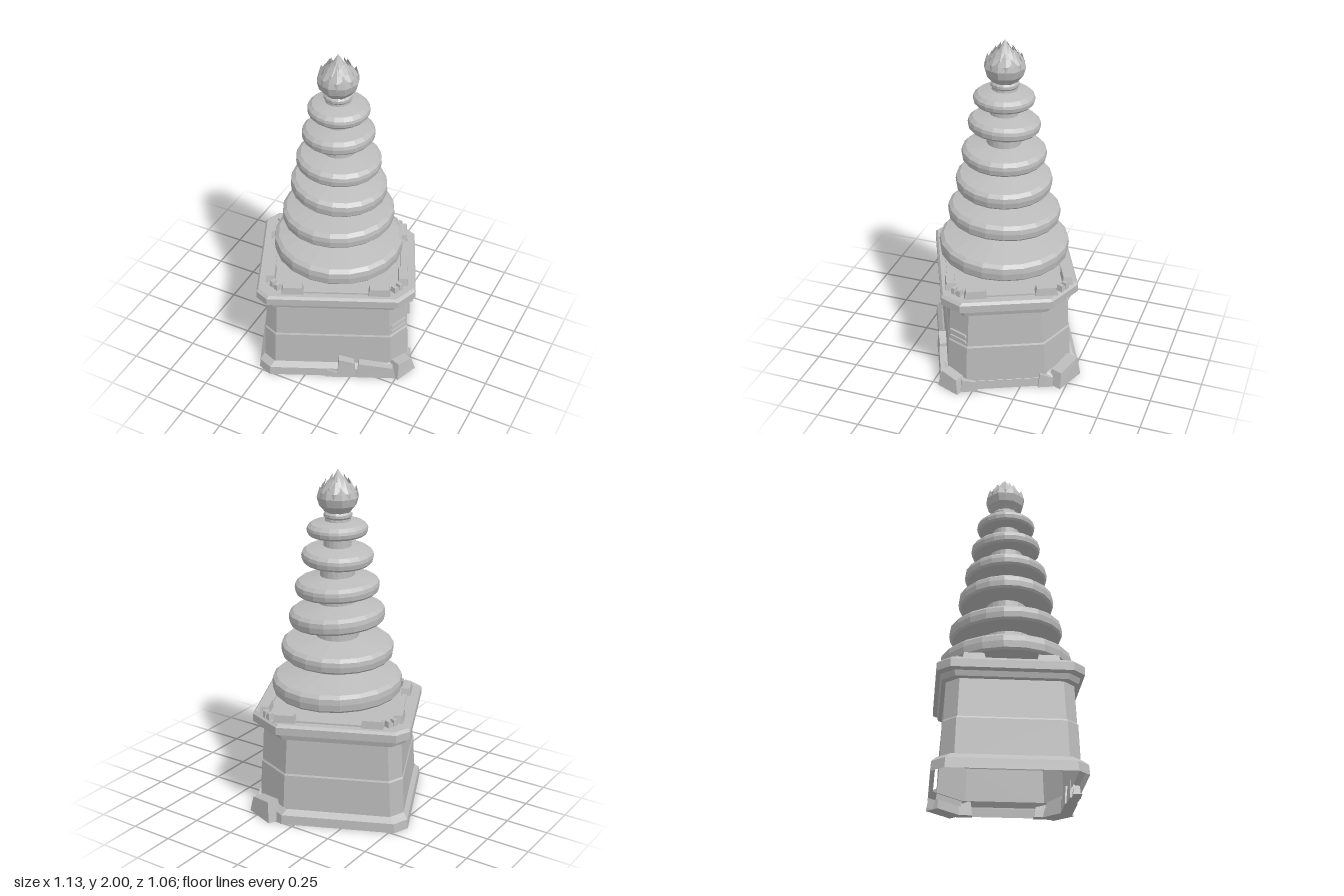
import * as THREE from 'three';

const stone = new THREE.MeshStandardMaterial({ color: 0xbcbcbc, flatShading: true, side: THREE.DoubleSide });
stone.name = 'grey stone';

function add(parent, name, geometry, x = 0, y = 0, z = 0) {
  const mesh = new THREE.Mesh(geometry, stone);
  mesh.name = name;
  mesh.position.set(x, y, z);
  parent.add(mesh);
  return mesh;
}

// Rectangle with four cut corners, as a counter-clockwise ring seen from above
function ring(y, inset, { u0 = -0.452, u1 = 0.47, v0 = -0.418, v1 = 0.374 } = {}) {
  const [a, b, c, d] = [u0 + inset, u1 - inset, v0 + inset, v1 - inset];
  const [rf, br, bl, fl] = [0.1, 0.17, 0.07, 0.065];
  return [
    [b, d - rf], [b, c + br], [b - br, c], [a + bl, c],
    [a, c + bl], [a, d - fl], [a + fl, d], [b - rf, d],
  ].map(([x, z]) => [x, y, z]);
}

// Skin between rings stacked upwards, optionally closed on top
function loft(rings, closeTop = false) {
  const p = [];
  const n = rings[0].length;
  for (let i = 0; i + 1 < rings.length; i++) {
    for (let j = 0; j < n; j++) {
      const k = (j + 1) % n;
      const [a, b, c, d] = [rings[i][j], rings[i][k], rings[i + 1][k], rings[i + 1][j]];
      p.push(...a, ...b, ...c, ...a, ...c, ...d);
    }
  }
  if (closeTop) {
    const top = rings[rings.length - 1];
    for (let j = 1; j + 1 < n; j++) p.push(...top[0], ...top[j], ...top[j + 1]);
  }
  const g = new THREE.BufferGeometry();
  g.setAttribute('position', new THREE.Float32BufferAttribute(p, 3));
  g.computeVertexNormals();
  return g;
}

// Box with a smaller top, whose top may also slope along x
function taperedBox(w, h, d, top = 0.8, slope = 0) {
  const g = new THREE.BoxGeometry(w, h, d);
  const pos = g.attributes.position;
  for (let i = 0; i < pos.count; i++) {
    if (pos.getY(i) > 0) {
      pos.setY(i, h / 2 - (pos.getX(i) > 0 ? slope : 0));
      pos.setX(i, pos.getX(i) * top);
      pos.setZ(i, pos.getZ(i) * top);
    }
  }
  g.translate(0, h / 2, 0);
  g.computeVertexNormals();
  return g;
}

// Pointed, ridged petal running up a radius/height/half-width profile
function petalGeometry(rows) {
  const p = [];
  const section = ([r, y, w]) => [[r - w * 0.35, y, w], [r, y, 0], [r - w * 0.35, y, -w]];
  for (let i = 0; i + 1 < rows.length; i++) {
    const lo = section(rows[i]);
    const hi = section(rows[i + 1]);
    for (let j = 0; j < 2; j++) {
      p.push(...lo[j], ...lo[j + 1], ...hi[j + 1], ...lo[j], ...hi[j + 1], ...hi[j]);
    }
  }
  const g = new THREE.BufferGeometry();
  g.setAttribute('position', new THREE.Float32BufferAttribute(p, 3));
  g.computeVertexNormals();
  return g;
}

const lathe = (points, sides) =>
  new THREE.LatheGeometry(points.map(([x, y]) => new THREE.Vector2(x, y)), sides);

function buildPedestal() {
  const g = new THREE.Group();
  g.name = 'pedestal';
  g.rotation.y = 0.428;

  // Plinth moulding, worn back to the wall on one side
  const foot = { u0: -0.453, u1: 0.445, v0: -0.437, v1: 0.385 };
  add(g, 'plinth', loft([ring(0, 0, foot), ring(0.055, 0.004, foot), ring(0.085, 0.03, foot)]));

  // Leaning walls in two courses, and the cornice slab
  add(g, 'walls', loft([
    ring(0.05, 0.03), ring(0.285, 0.038), ring(0.295, 0.043), ring(0.515, 0.052),
  ]));
  add(g, 'cornice', loft([
    ring(0.51, 0.052), ring(0.515, 0.03), ring(0.545, 0.022), ring(0.555, 0),
    ring(0.6, 0), ring(0.615, 0.012),
  ], true));

  // Low kerb between the parapet blocks
  for (const [x, z, w, d] of [
    [0.01, -0.35, 0.62, 0.03], [0.01, 0.315, 0.62, 0.03],
    [-0.37, -0.02, 0.03, 0.5], [0.395, -0.02, 0.03, 0.5],
  ]) add(g, 'kerb', taperedBox(w, 0.012, d, 0.97), x, 0.613, z);

  // Parapet blocks either side of each corner, with a small notched stone between
  for (const sx of [-1, 1]) {
    for (const sz of [-1, 1]) {
      const cx = 0.01 + sx * 0.385;
      const cz = -0.02 + sz * 0.335;
      add(g, 'parapetBlock', taperedBox(0.13, 0.047, 0.058, 0.84), cx - sx * 0.135, 0.613, cz);
      add(g, 'parapetBlock', taperedBox(0.058, 0.047, 0.13, 0.84), cx, 0.613, cz - sz * 0.135);
      const corner = new THREE.Group();
      corner.name = 'cornerStone';
      corner.position.set(cx - sx * 0.035, 0.613, cz - sz * 0.035);
      corner.rotation.y = sx * sz * Math.PI / 4;
      for (const s of [-1, 1]) add(corner, 'cornerStoneHalf', taperedBox(0.026, 0.038, 0.04, 0.8), s * 0.02, 0, 0);
      add(corner, 'cornerStoneMiddle', taperedBox(0.04, 0.02, 0.03, 0.8));
      g.add(corner);
    }
  }

  // Broken stones round the foot: width, height, depth, top scale, slope, x, z, turn
  for (const [w, h, d, top, slope, x, z, turn] of [
    [0.12, 0.135, 0.06, 0.75, 0.03, 0.075, 0.362, 0.05],
    [0.09, 0.05, 0.05, 0.8, 0.02, -0.005, 0.37, -0.05],
    [0.24, 0.105, 0.07, 0.85, 0.03, 0.25, 0.358, 0],
    [0.15, 0.105, 0.1, 0.72, 0.02, 0.4, 0.318, Math.PI / 4],
    [0.1, 0.08, 0.05, 0.8, 0.02, 0.44, 0.23, Math.PI / 2],
    [0.2, 0.125, 0.09, 0.78, 0.03, 0.385, -0.34, -Math.PI / 4],
    [0.09, 0.09, 0.05, 0.75, 0.03, 0.435, -0.22, Math.PI / 2],
  ]) add(g, 'brokenStone', taperedBox(w, h, d, top, slope), x, 0, z).rotation.y = turn;

  // Chipped ledges on the cut corner
  for (const y of [0.315, 0.355]) {
    add(g, 'chip', taperedBox(0.125, 0.012, 0.02, 0.9), 0.376, y, 0.281).rotation.y = Math.PI / 4;
  }
  return g;
}

function buildSpire() {
  const g = new THREE.Group();
  g.name = 'spire';
  g.position.set(0.005, 0, -0.02);

  // Stepped core, narrowing behind each disc
  add(g, 'core', lathe([
    [0.18, 0.61], [0.18, 0.76], [0.157, 0.77], [0.15, 0.97], [0.127, 0.98], [0.122, 1.16],
    [0.107, 1.17], [0.104, 1.34], [0.1, 1.35], [0.097, 1.52], [0.08, 1.53], [0.078, 1.7],
  ], 20));

  // Loose, slightly tilted discs: radius, underside, side height, crown rise, core radius, tilts
  for (const [r, y, h, rise, inner, rx, rz] of [
    [0.38, 0.7, 0.1, 0.04, 0.155, -0.02, -0.01],
    [0.326, 0.918, 0.088, 0.03, 0.125, -0.03, 0.03],
    [0.277, 1.115, 0.088, 0.03, 0.105, -0.03, -0.06],
    [0.242, 1.292, 0.078, 0.024, 0.098, -0.03, -0.03],
    [0.205, 1.472, 0.074, 0.02, 0.08, -0.04, 0.04],
    [0.173, 1.63, 0.066, 0.02, 0.05, -0.02, -0.01],
  ]) {
    const disc = add(g, 'disc', lathe([
      [inner - 0.03, 0], [r - 0.015, 0], [r - 0.004, 0.012], [r, h * 0.5], [r - 0.004, h - 0.018],
      [r - 0.025, h], [inner, h + rise], [0, h + rise],
    ], 20), 0, y, 0);
    disc.rotation.set(rx, 0, rz);
  }
  return g;
}

function buildFinial() {
  const g = new THREE.Group();
  g.name = 'finial';
  g.position.set(0, 0, -0.023);

  // Collar and inner bud
  add(g, 'collar', lathe([
    [0.075, 1.69], [0.072, 1.725], [0.08, 1.735], [0.08, 1.75], [0.068, 1.765], [0, 1.77],
  ], 14));
  add(g, 'bud', lathe([
    [0.065, 1.755], [0.095, 1.8], [0.102, 1.85], [0.08, 1.9], [0.035, 1.94], [0, 1.998],
  ], 8));

  // Three whorls of petals
  const whorls = [
    [[0.07, 1.757, 0.02], [0.107, 1.8, 0.04], [0.12, 1.845, 0.042], [0.112, 1.875, 0.027], [0.102, 1.905, 0]],
    [[0.07, 1.76, 0.02], [0.108, 1.82, 0.04], [0.108, 1.875, 0.036], [0.085, 1.91, 0.022], [0.066, 1.945, 0]],
    [[0.09, 1.86, 0.03], [0.08, 1.9, 0.03], [0.055, 1.935, 0.018], [0.035, 1.972, 0]],
  ];
  whorls.forEach((rows, i) => {
    const geometry = petalGeometry(rows);
    const count = i === 2 ? 6 : 8;
    for (let k = 0; k < count; k++) {
      add(g, 'petal', geometry).rotation.y = ((k + (i === 1 ? 0.5 : 0)) / count) * Math.PI * 2;
    }
  });
  return g;
}

export function createModel() {
  const model = new THREE.Group();
  model.name = 'stoneStupa';
  model.add(buildPedestal(), buildSpire(), buildFinial());
  return model;
}
